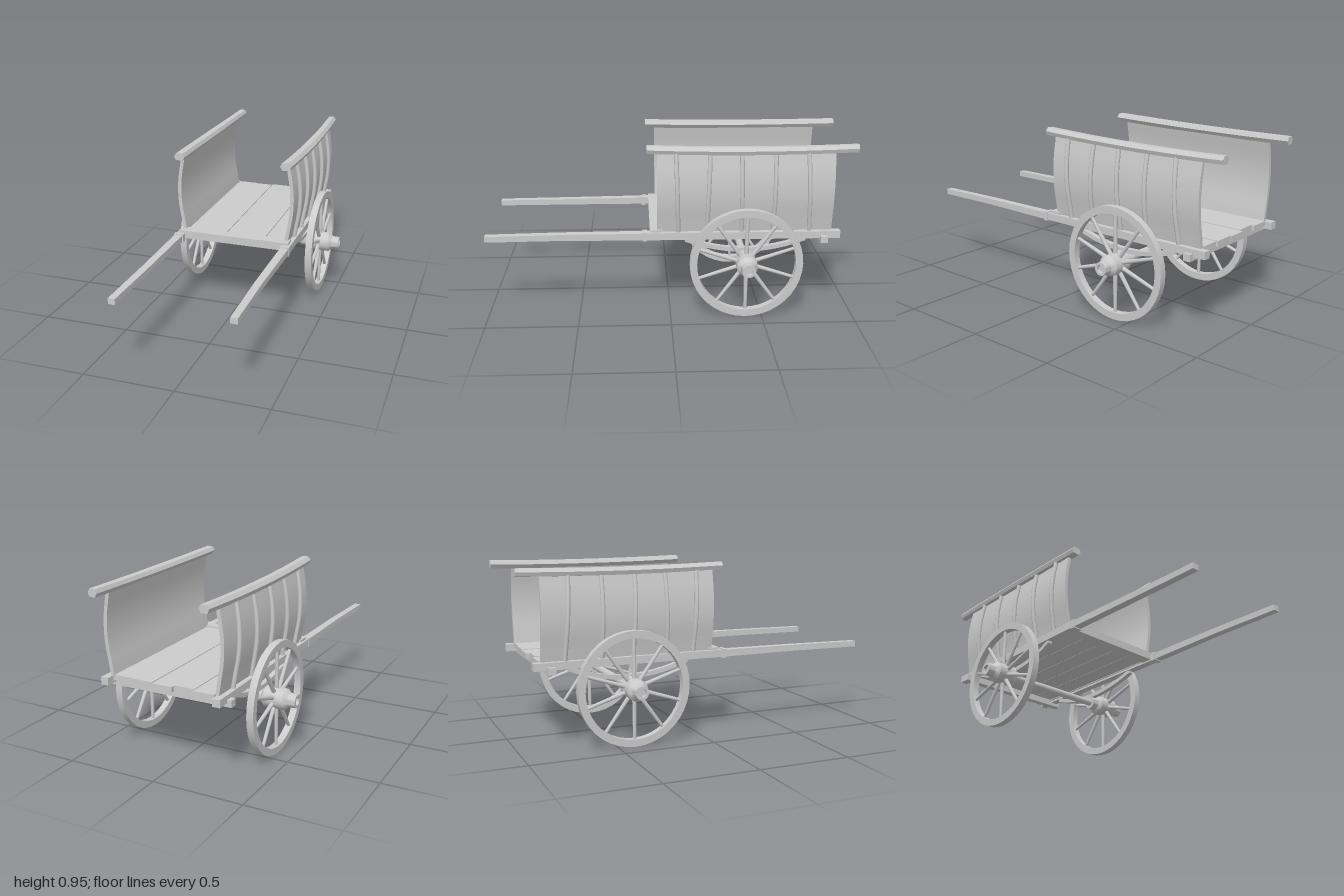
import * as THREE from 'three';
import { toCreasedNormals } from 'three/addons/utils/BufferGeometryUtils.js';

const material = new THREE.MeshStandardMaterial({ color: 0xcccccc });
const WHEEL_Z = -0.41, WHEEL_Y = 0.307;

// Closed solid through rings of points; rings run counterclockwise about the sweep direction
function loft(rings) {
  const pos = [];
  const tri = (...pts) => pts.forEach((p) => pos.push(...p));
  const n = rings[0].length, last = rings[rings.length - 1];
  for (let k = 0; k < rings.length - 1; k++) {
    const a = rings[k], b = rings[k + 1];
    for (let i = 0; i < n; i++) {
      const j = (i + 1) % n;
      tri(a[i], a[j], b[j]);
      tri(a[i], b[j], b[i]);
    }
  }
  for (let i = 1; i < n - 1; i++) {
    tri(rings[0][0], rings[0][i + 1], rings[0][i]);
    tri(last[0], last[i], last[i + 1]);
  }
  const g = new THREE.BufferGeometry();
  g.setAttribute('position', new THREE.Float32BufferAttribute(pos, 3));
  g.computeVertexNormals();
  return g;
}

// Rectangular bar through stations [z, x, y, halfWidth, halfHeight], z increasing
const bar = (stations) => loft(stations.map(([z, x, y, w, h]) =>
  [[x - w, y - h, z], [x + w, y - h, z], [x + w, y + h, z], [x - w, y + h, z]]));

function box(x0, x1, y0, y1, z0, z1) {
  return new THREE.BoxGeometry(x1 - x0, y1 - y0, z1 - z0)
    .translate((x0 + x1) / 2, (y0 + y1) / 2, (z0 + z1) / 2);
}

// Turned part about the x axis; profile is [radius, x]
function turned(profile, segments) {
  const g = new THREE.LatheGeometry(profile.map(([r, x]) => new THREE.Vector2(r, x)), segments);
  return toCreasedNormals(g.rotateZ(-Math.PI / 2), 0.5);
}

// Mirror a geometry in x and restore its winding
function mirrored(geometry) {
  const g = geometry.index ? geometry.toNonIndexed() : geometry.clone();
  for (const name of ['position', 'normal']) {
    const a = g.attributes[name];
    for (let i = 0; i < a.count; i += 3) {
      const v = [0, 2, 1].map((k) => [-a.getX(i + k), a.getY(i + k), a.getZ(i + k)]);
      v.forEach((p, k) => a.setXYZ(i + k, ...p));
    }
  }
  return g;
}

// Bowed outline of the cart sides: outer panel face at height y
const sideCurve = new THREE.CatmullRomCurve3([
  [0.308, 0.44], [0.322, 0.53], [0.337, 0.62], [0.342, 0.7], [0.337, 0.79], [0.324, 0.87], [0.315, 0.92],
].map(([x, y]) => new THREE.Vector3(x, y, 0)));

function sidePanel() {
  const pts = sideCurve.getPoints(18);
  const outline = [
    ...pts.map((p) => new THREE.Vector2(p.x, p.y)),
    ...pts.reverse().map((p) => new THREE.Vector2(p.x - 0.02, p.y)),
  ];
  const g = new THREE.ExtrudeGeometry(new THREE.Shape(outline), { depth: 0.95, bevelEnabled: false });
  return toCreasedNormals(g.translate(0, 0, -0.88), 0.6);
}

function rib(z, lean) {
  const pts = sideCurve.getPoints(10).map((p) =>
    new THREE.Vector3(p.x + 0.009, p.y, z + lean * (p.y - 0.7)));
  return new THREE.TubeGeometry(new THREE.CatmullRomCurve3(pts), 16, 0.012, 8, false);
}

// Top rail: chamfered section, gently bowed outwards and dipping in the middle
function topRail() {
  const section = [[-0.018, -0.022], [0.022, -0.018], [0.03, 0.003], [0.014, 0.022], [-0.022, 0.02], [-0.033, 0]];
  const rings = [];
  for (let i = 0; i <= 10; i++) {
    const t = i / 10, u = 4 * t * (1 - t);
    const x = 0.308 + 0.011 * u, y = 0.922 - 0.008 * u + 0.003 * t;
    const s = 0.85 + 0.15 * Math.min(1, 2 * t);
    rings.push(section.map(([a, b]) => [x + a * s, y + b, -1 + 1.125 * t]));
  }
  return loft(rings);
}

// Curved bearer between shaft and hub
function bearer() {
  const stations = [];
  for (let i = 0; i <= 12; i++) {
    const t = i / 12, u = 4 * t * (1 - t);
    stations.push([-0.74 + 0.66 * t, 0.315 - 0.014 * u, 0.425 - 0.069 * u, 0.014, 0.012]);
  }
  return bar(stations);
}

export function createModel() {
  const cart = new THREE.Group();
  cart.name = 'handcart';
  const add = (name, geometry, parent = cart) => {
    const mesh = new THREE.Mesh(geometry, material);
    mesh.name = name;
    parent.add(mesh);
  };

  // Floor planks with slightly uneven ends
  [-0.89, -0.875, -0.895, -0.89, -0.88].forEach((end, i) => {
    const x = -0.29 + i * 0.116;
    add('floorPlank', box(x + 0.001, x + 0.115, 0.444, 0.472 + (i % 2) * 0.003, end, 0.06));
  });

  // Cross members and axle
  add('frontCrossboard', box(-0.325, 0.325, 0.435, 0.48, 0.045, 0.11));
  add('rearCrossbeam', box(-0.365, 0.365, 0.407, 0.444, -0.855, -0.815));
  add('axle', new THREE.CylinderGeometry(0.02, 0.02, 0.6, 20)
    .rotateZ(Math.PI / 2).translate(0, WHEEL_Y, WHEEL_Z));

  // Parts shared by both sides
  const parts = [];
  parts.push(['shaft', bar([
    [-0.925, 0.32, 0.447, 0.021, 0.02], [0.1, 0.315, 0.447, 0.023, 0.02],
    [0.2, 0.314, 0.446, 0.023, 0.019], [0.6, 0.31, 0.445, 0.021, 0.017], [1, 0.314, 0.441, 0.019, 0.016],
  ])]);
  parts.push(['shaftCollar', box(0.285, 0.341, 0.421, 0.471, 0.125, 0.15)]);
  parts.push(['sidePanel', sidePanel()]);
  parts.push(['topRail', topRail()]);
  parts.push(['bearer', bearer()]);
  [[-0.037, 0.03], [-0.205, -0.03], [-0.383, 0.02], [-0.56, 0], [-0.745, 0.05]]
    .forEach(([z, lean]) => parts.push(['sideRib', rib(z, lean)]));

  // Wheel: rim, stepped hub and ten spokes
  const place = (g) => g.translate(0, WHEEL_Y, WHEEL_Z);
  parts.push(['wheelRim', place(turned(
    [[0.268, 0.371], [0.307, 0.371], [0.307, 0.409], [0.268, 0.409], [0.268, 0.371]], 40))]);
  parts.push(['wheelHub', place(turned([
    [0, 0.277], [0.037, 0.277], [0.037, 0.318], [0.046, 0.322], [0.057, 0.335], [0.057, 0.447],
    [0.038, 0.468], [0.036, 0.51], [0.022, 0.51], [0.022, 0.49], [0, 0.49]], 28))]);
  for (let i = 0; i < 10; i++) {
    const spoke = new THREE.CylinderGeometry(0.009, 0.012, 0.235, 8)
      .translate(0, 0.1625, 0).rotateX(i * Math.PI / 5).translate(0.39, 0, 0);
    parts.push(['wheelSpoke', place(spoke)]);
  }

  // Left side as built, right side mirrored
  for (const side of ['left', 'right']) {
    const group = new THREE.Group();
    group.name = side + 'Side';
    for (const [name, g] of parts) add(name, side === 'left' ? g : mirrored(g), group);
    cart.add(group);
  }
  return cart;
}
